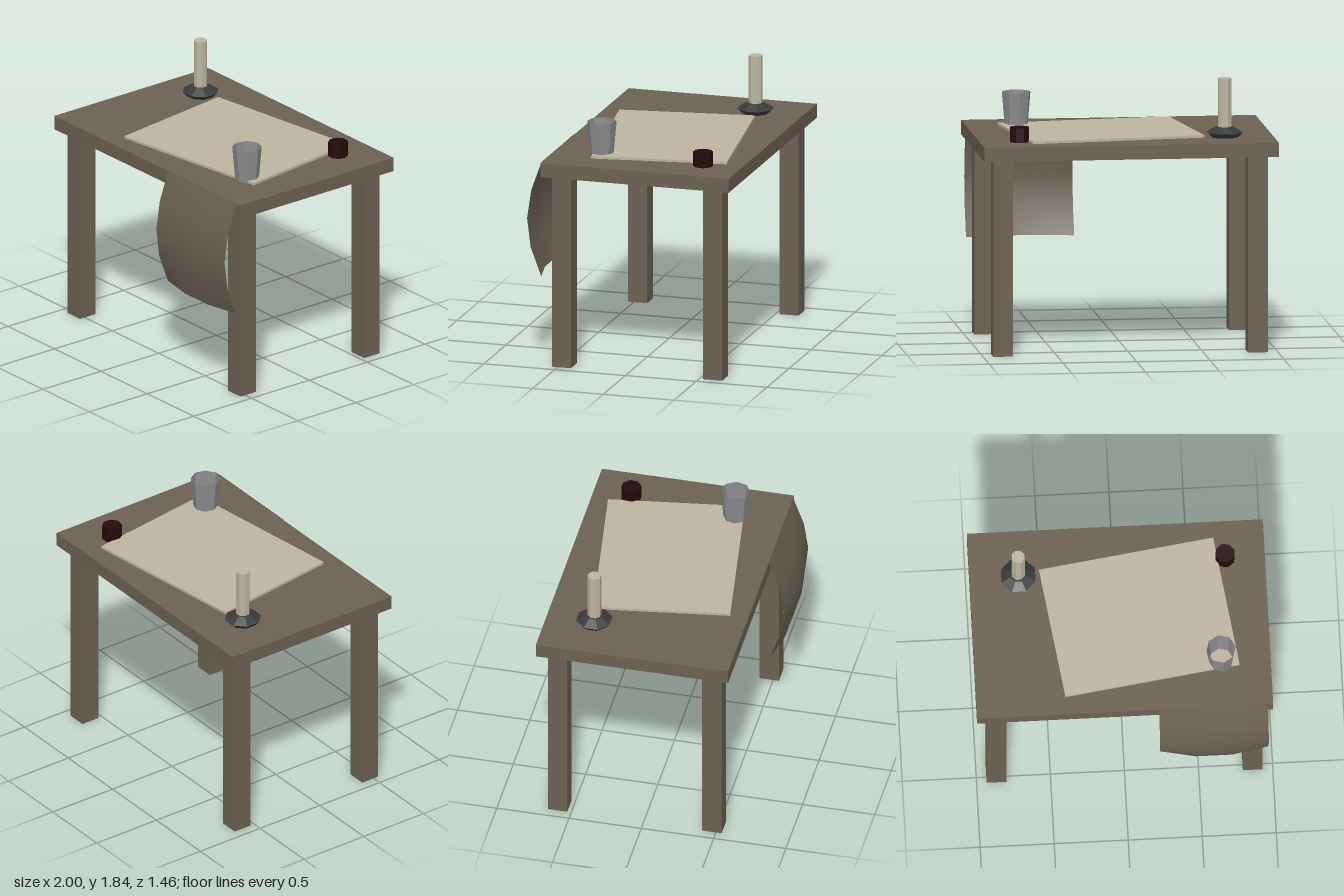
import * as THREE from 'three';

const paint = (name, color, extra = {}) => {
  const m = new THREE.MeshStandardMaterial({ color, ...extra });
  m.name = name;
  return m;
};

export function createModel() {
  const model = new THREE.Group();
  model.name = 'writingTable';
  const wood = paint('wood', 0x6b6153, { flatShading: true });
  const cloth = paint('cloth', 0x6b6153, { side: THREE.DoubleSide });
  const parchment = paint('parchment', 0xbdb5a0, { flatShading: true });
  const pewter = paint('pewter', 0x8c8c8f, { flatShading: true, side: THREE.DoubleSide });
  const iron = paint('iron', 0x393b3b, { flatShading: true });
  const ink = paint('ink', 0x230a0b, { flatShading: true });

  const add = (name, geometry, material, x, y, z, turn = 0) => {
    const mesh = new THREE.Mesh(geometry, material);
    mesh.name = name;
    mesh.position.set(x, y, z);
    mesh.rotation.y = turn;
    model.add(mesh);
    return mesh;
  };

  // Table top and four square legs
  const top = 1.435, under = 1.338;
  add('tableTop', new THREE.BoxGeometry(2, top - under, 1.33), wood, 0, (top + under) / 2, -0.065);
  for (const x of [-0.865, 0.865]) {
    for (const z of [0.473, -0.595]) {
      add('leg', new THREE.BoxGeometry(0.134, under, 0.134), wood, x, under / 2, z);
    }
  }

  // Large sheet lying askew on the table
  add('sheet', new THREE.BoxGeometry(1.197, 0.017, 0.927), parchment, 0.13, 1.4455, -0.066, 0.142);

  // Candle on a dished octagonal holder
  const eighth = Math.PI / 8;
  const dish = [[0, 0], [0.095, 0], [0.125, 0.032], [0.06, 0.07], [0, 0.07]].map(p => new THREE.Vector2(...p));
  add('candleHolder', new THREE.LatheGeometry(dish, 8), iron, -0.67, top, -0.4, eighth);
  add('candle', new THREE.CylinderGeometry(0.047, 0.047, 0.34, 8), parchment, -0.67, 1.665, -0.4, eighth);

  // Open tapered cup with a floor below the sheet's upper face
  const cup = [[0, 0.003], [0.08, 0.003], [0.1, 0.235]].map(p => new THREE.Vector2(...p));
  add('cup', new THREE.LatheGeometry(cup, 8), pewter, 0.665, top, 0.27, 0.142);

  // Small ink pot
  add('inkPot', new THREE.CylinderGeometry(0.068, 0.068, 0.1, 8), ink, 0.73, top + 0.05, -0.465, 0.3);

  // Cloth hanging from the front edge, bulging outward toward its middle
  const sideZ = [0.603, 0.675, 0.705, 0.68, 0.605];
  const middleZ = [0.603, 0.69, 0.73, 0.715, 0.655];
  const drape = new THREE.PlaneGeometry(0.735, 0.8, 3, 4);
  const pos = drape.attributes.position;
  for (let i = 0; i < pos.count; i++) {
    const row = Math.floor(i / 4), col = i % 4;
    pos.setZ(i, (col === 0 || col === 3 ? sideZ : middleZ)[row]);
  }
  drape.computeVertexNormals();
  add('hangingCloth', drape, cloth, 0.5975, 1.035, 0);

  return model;
}
